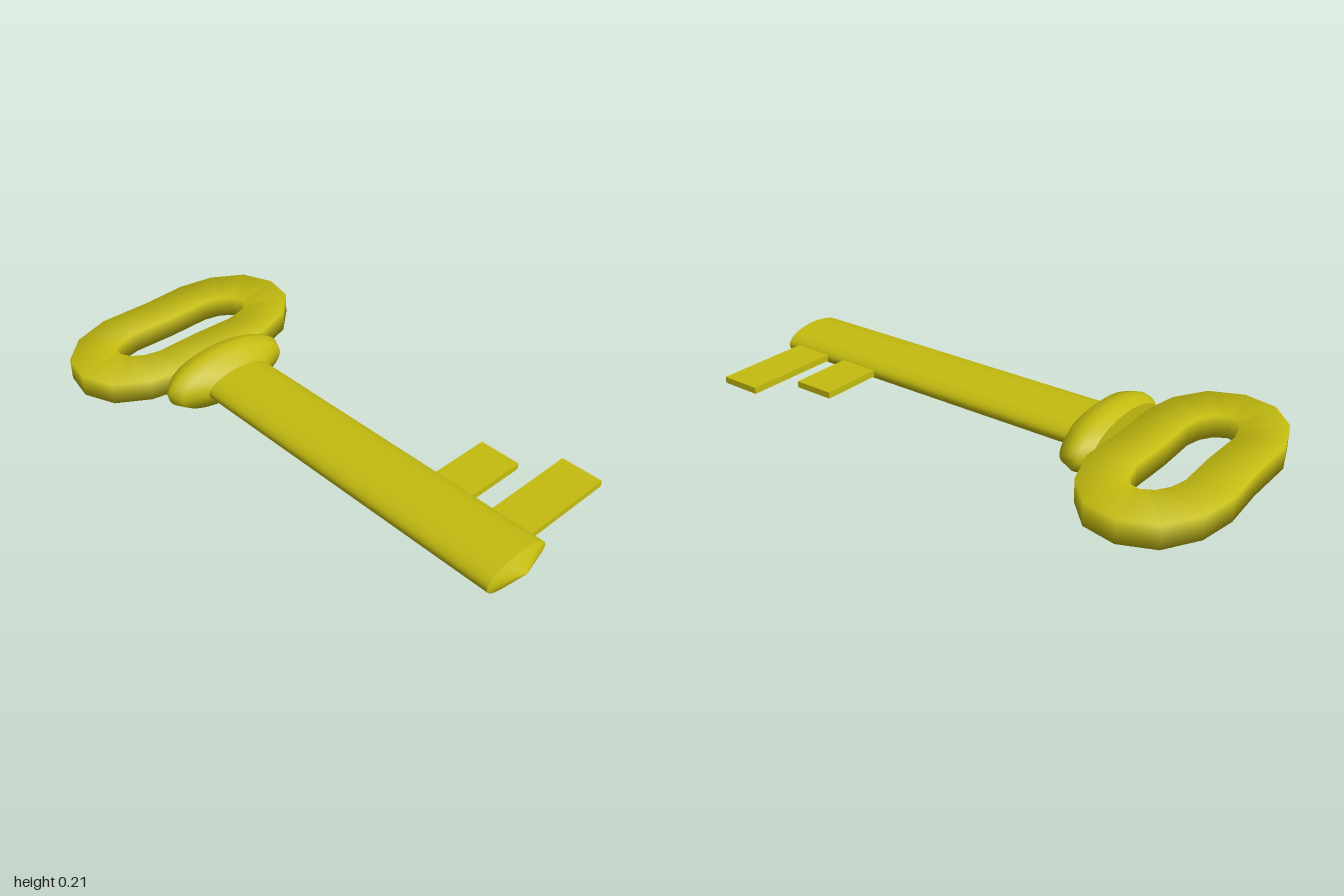
import * as THREE from 'three';

const material = new THREE.MeshStandardMaterial({ color: 0xc4bc10 });
const CX = -0.036, CY = 0.112, FLAT = 0.41; // shaft axis and flattening

function add(group, name, geometry) {
  const mesh = new THREE.Mesh(geometry, material);
  mesh.name = name;
  group.add(mesh);
  return mesh;
}

// Turned part along z, squashed in y; profile is [radius, z] with z rising
function turned(group, name, profile) {
  const g = new THREE.LatheGeometry(profile.map(([r, z]) => new THREE.Vector2(r, z)), 40);
  g.rotateX(Math.PI / 2);
  g.scale(1, FLAT, 1);
  g.translate(CX, CY, 0);
  return add(group, name, g);
}

// Oval handle: a rectangular band swept round, with softened normals
function bowGeometry() {
  // outer x, z, inner x, z for one half; the other half is the same turned by 180 degrees
  const half = [
    [0, -0.99, 0, -0.83], [0.175, -1, 0.17, -0.835], [0.315, -0.975, 0.23, -0.82],
    [0.435, -0.9, 0.275, -0.79], [0.485, -0.78, 0.297, -0.75], [0.46, -0.655, 0.29, -0.715],
    [0.36, -0.56, 0.25, -0.688], [0.215, -0.512, 0.17, -0.67],
  ];
  const turn = -1.505;
  const stations = [...half, ...half.map(([a, b, c, d]) => [-a, turn - b, -c, turn - d])];
  const low = 0.07, high = 0.153, pos = [], index = [];
  for (const [ox, oz, ix, iz] of stations)
    pos.push(ox, low, oz, ox, high, oz, ix, high, iz, ix, low, iz);
  const n = stations.length;
  for (let i = 0; i < n; i++) {
    for (let k = 0; k < 4; k++) {
      const a = i * 4 + k, b = i * 4 + (k + 1) % 4;
      const c = ((i + 1) % n) * 4 + (k + 1) % 4, d = ((i + 1) % n) * 4 + k;
      index.push(a, b, c, a, c, d);
    }
  }
  const g = new THREE.BufferGeometry();
  g.setAttribute('position', new THREE.Float32BufferAttribute(pos, 3));
  g.setIndex(index);
  g.computeVertexNormals();
  return g;
}

export function createModel() {
  const key = new THREE.Group();
  key.name = 'key';

  // Shaft with a blunt pointed tip
  turned(key, 'shaft', [[0.14, -0.42], [0.14, 0.96]]);
  turned(key, 'shaftTip', [[0.14, 0.96], [0, 1]]);

  // Bulging collar between shaft and handle
  turned(key, 'collar', [[0.215, -0.508], [0.25, -0.478], [0.262, -0.447], [0.238, -0.4], [0.14, -0.362]]);
  turned(key, 'collarBack', [[0, -0.508], [0.215, -0.508]]);

  add(key, 'bow', bowGeometry());

  // Two teeth on the left side: [outer x, centre z]
  for (const [x, z] of [[0.34, 0.585], [0.473, 0.828]]) {
    const tooth = add(key, 'tooth', new THREE.BoxGeometry(x, 0.024, 0.16));
    tooth.position.set(x / 2, CY, z);
  }
  return key;
}
